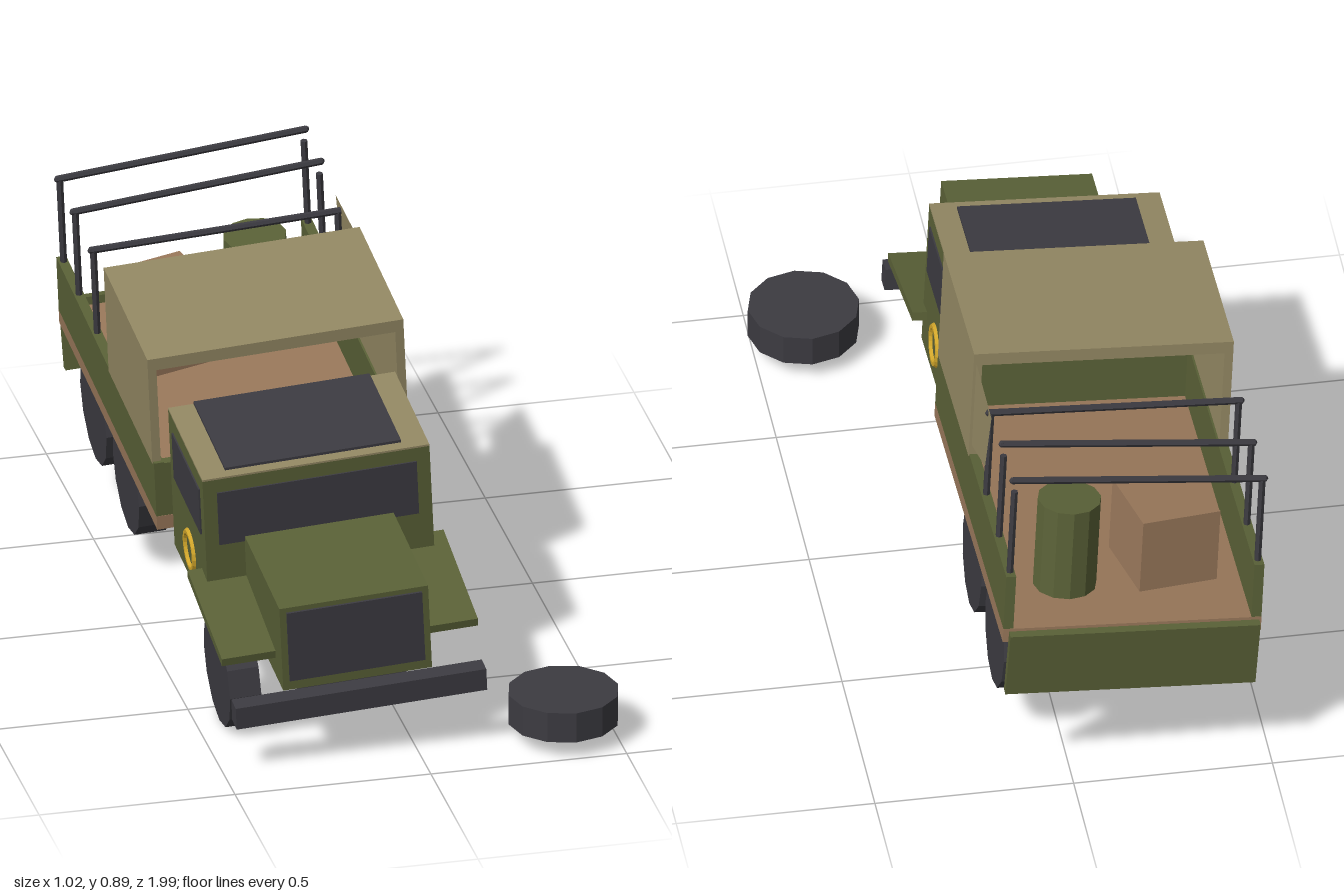
import * as THREE from 'three';

export function createModel() {
  const mat = (name, color, extra = {}) => {
    const m = new THREE.MeshStandardMaterial({ color, flatShading: true, ...extra });
    m.name = name;
    return m;
  };
  const green = mat('olive green', 0x5a6137);
  const canvas = mat('tan canvas', 0x938863, { side: THREE.DoubleSide });
  const dark = mat('dark grey', 0x3c3b41);
  const wood = mat('wood', 0x98775a);
  const yellow = mat('yellow', 0xd0a52a);

  const model = new THREE.Group();
  model.name = 'wreckedTruck';

  // The truck leans down at the front and to one side
  const truck = new THREE.Group();
  truck.name = 'truck';
  truck.position.set(-0.135, 0, 0);
  truck.rotation.set(0.08, 0, 0.062);
  model.add(truck);

  const add = (name, geometry, material, x, y, z, parent = truck) => {
    const m = new THREE.Mesh(geometry, material);
    m.name = name;
    m.position.set(x, y, z);
    parent.add(m);
    return m;
  };
  // Box given by its limits on each axis
  const box = (name, material, [x0, x1], [y0, y1], [z0, z1]) =>
    add(name, new THREE.BoxGeometry(x1 - x0, y1 - y0, z1 - z0), material,
      (x0 + x1) / 2, (y0 + y1) / 2, (z0 + z1) / 2);

  // Chassis and bumper
  box('chassis', dark, [-0.132, 0.132], [0.203, 0.268], [-0.965, 0.8]);
  box('bumper', dark, [-0.32, 0.32], [0.205, 0.265], [0.822, 0.87]);

  // Hood and grille
  box('hood', green, [-0.19, 0.19], [0.275, 0.511], [0.46, 0.836]);
  box('grille', dark, [-0.173, 0.173], [0.302, 0.498], [0.834, 0.842]);

  // Cab with roof, hatch and windshield
  box('cab', green, [-0.29, 0.29], [0.293, 0.684], [0.1, 0.465]);
  box('cabRoof', canvas, [-0.29, 0.29], [0.684, 0.689], [0.1, 0.465]);
  box('roofHatch', dark, [-0.225, 0.225], [0.688, 0.696], [0.1, 0.435]);
  box('windshield', dark, [-0.255, 0.255], [0.497, 0.647], [0.463, 0.469]);

  for (const s of [-1, 1]) {
    const side = s > 0 ? 'left' : 'right';
    const span = (a, b) => (s > 0 ? [a, b] : [-b, -a]);

    // Side window, ring badge and sloping fender
    box(side + 'Window', dark, span(0.288, 0.294), [0.513, 0.643], [0.145, 0.43]);
    add(side + 'RingBadge', new THREE.TorusGeometry(0.048, 0.009, 6, 20), yellow,
      s * 0.29, 0.385, 0.287).rotation.y = Math.PI / 2;
    add(side + 'Fender', new THREE.BoxGeometry(0.15, 0.022, 0.36), green,
      s * 0.252, 0.366, 0.587).rotation.x = 0.148;

    // Bed wall and canopy side
    box(side + 'BedWall', green, span(0.3, 0.325), [0.36, 0.513], [-0.975, 0.065]);
    box(side + 'CanopySide', canvas, span(0.305, 0.327), [0.508, 0.775], [-0.41, 0.055]);
  }

  // Bed floor and headboard, tailgate hanging open
  box('bedFloor', wood, [-0.325, 0.325], [0.322, 0.36], [-0.976, 0.066]);
  box('headboard', green, [-0.3, 0.3], [0.36, 0.51], [0.04, 0.065]);
  add('tailgate', new THREE.BoxGeometry(0.63, 0.187, 0.022), green, 0, 0.274, -0.998)
    .rotation.x = -0.14;

  // Canopy roof and the torn flap behind it
  box('canopyRoof', canvas, [-0.327, 0.327], [0.775, 0.808], [-0.41, 0.055]);
  const flap = new THREE.BufferGeometry();
  flap.setAttribute('position', new THREE.Float32BufferAttribute([
    0.32, 0.54, -0.41, 0.32, 0.595, -0.595, 0.32, 0.768, -0.642, 0.32, 0.78, -0.41], 3));
  flap.setIndex([0, 1, 2, 0, 2, 3]);
  flap.computeVertexNormals();
  add('tornFlap', flap, canvas, 0, 0, 0);

  // Bare canopy hoops: two posts and a bar, two of the bars bent up at one end
  for (const [z, rise] of [[-0.592, 0], [-0.785, 0.032], [-0.95, 0.03]]) {
    for (const s of [-1, 1])
      add('hoopPost', new THREE.CylinderGeometry(0.009, 0.009, 0.39, 6), dark,
        s * 0.312, 0.555, z);
    const bar = new THREE.CatmullRomCurve3([
      new THREE.Vector3(-0.318, 0.752, z), new THREE.Vector3(0.318, 0.752 + rise, z)]);
    add('hoopBar', new THREE.TubeGeometry(bar, 1, 0.009, 6), dark, 0, 0, 0);
    for (const s of [-1, 1])
      add('hoopBarEnd', new THREE.SphereGeometry(0.009, 6, 4), dark,
        s * 0.318, 0.752 + (s > 0 ? rise : 0), z);
  }

  // Cargo
  add('barrel', new THREE.CylinderGeometry(0.08, 0.08, 0.25, 12), green, 0.138, 0.485, -0.775);
  add('crate', new THREE.BoxGeometry(0.205, 0.2, 0.215), wood, -0.12, 0.46, -0.71)
    .rotation.y = 0.2;

  // Wheels: one front wheel is off and lies on the ground
  const wheel = new THREE.CylinderGeometry(0.14, 0.14, 0.08, 12);
  for (const [x, z] of [[-0.26, 0.575], [-0.26, -0.393], [0.26, -0.393],
    [-0.26, -0.74], [0.26, -0.74]])
    add('wheel', wheel, dark, x, 0.2, z).rotation.z = Math.PI / 2;
  add('looseWheel', wheel, dark, 0.372, 0.08, 0.86, model);

  return model;
}
